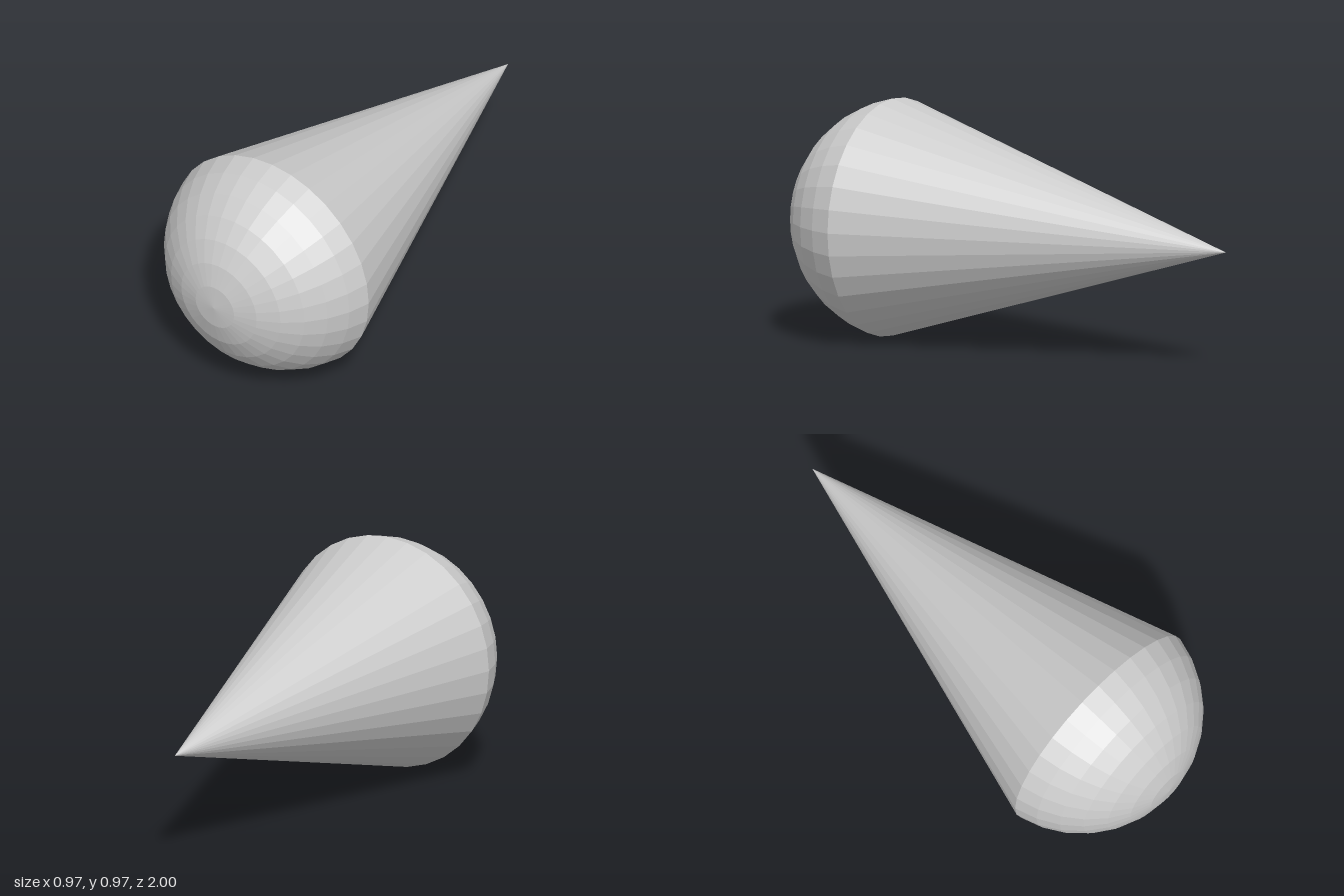
import * as THREE from 'three';

const SIDES = 32;
const STEP = Math.PI / 16; // latitude spacing of the dome rings
const RINGS = 7;
const SPHERE_R = 0.495;
const RIM_R = SPHERE_R * Math.sin(RINGS * STEP);
const SPHERE_Z = 1 - SPHERE_R;

export function createModel() {
  const group = new THREE.Group();
  group.name = 'teardrop';
  const material = new THREE.MeshStandardMaterial({ color: 0xcccccc, flatShading: true });

  // Dome rings from the widest rim to the rounded nose
  const dome = [];
  for (let i = RINGS; i >= 0; i--) {
    dome.push(new THREE.Vector2(
      i === 0 ? 0 : SPHERE_R * Math.sin(i * STEP),
      SPHERE_Z + SPHERE_R * Math.cos(i * STEP)
    ));
  }
  // Straight cone from the rear tip to the same rim
  const cone = [new THREE.Vector2(0, -1), dome[0].clone()];

  const addLathe = (name, profile) => {
    const geometry = new THREE.LatheGeometry(profile, SIDES);
    geometry.rotateX(Math.PI / 2); // lay the axis along z
    geometry.translate(0, RIM_R, 0); // rest the rim on the ground
    const mesh = new THREE.Mesh(geometry, material);
    mesh.name = name;
    group.add(mesh);
  };

  addLathe('roundedNose', dome);
  addLathe('taperedTail', cone);
  return group;
}
